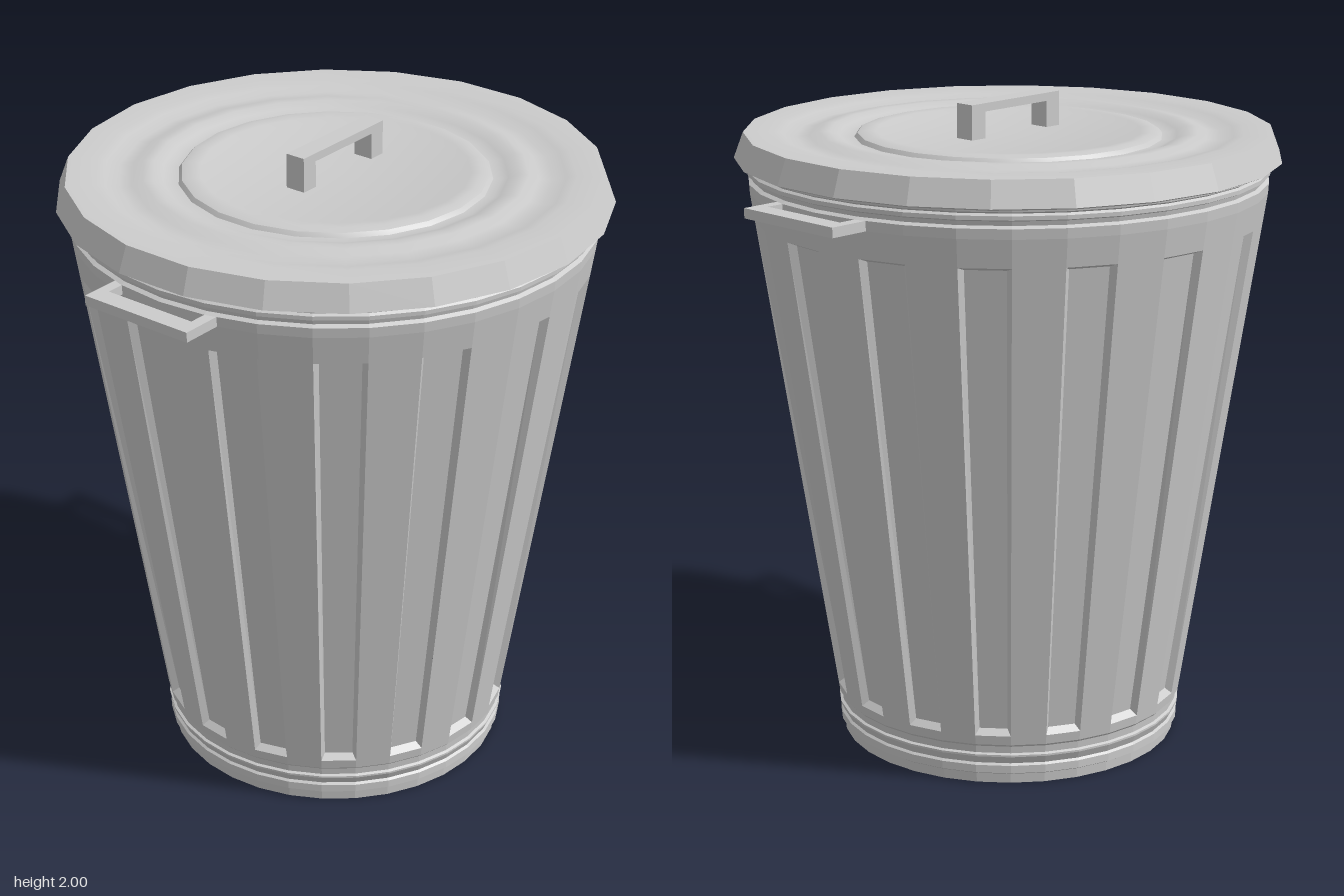
import * as THREE from 'three';
import { toCreasedNormals } from 'three/addons/utils/BufferGeometryUtils.js';

const flat = new THREE.MeshStandardMaterial({ color: 0xcccccc, flatShading: true });
const smooth = new THREE.MeshStandardMaterial({ color: 0xcccccc });

function add(parent, name, geometry, material = flat) {
  const mesh = new THREE.Mesh(geometry, material);
  mesh.name = name;
  parent.add(mesh);
  return mesh;
}

// Profile of [radius, y] pairs, running bottom centre -> outside -> top centre
function lathe(profile, sides) {
  return new THREE.LatheGeometry(profile.map(([r, y]) => new THREE.Vector2(r, y)), sides);
}

// Tapered 32-sided wall: 16 raised ribs alternating with 16 recessed panels
function wallGeometry() {
  const yMin = 0.13, yMax = 1.735, yLow = 0.16, yHigh = 1.65;
  const depth = 0.022, step = Math.PI / 16;
  const pos = [];
  const point = (a, y, inset = 0) => {
    const r = 0.543 + (0.785 - 0.543) * (y - yMin) / (yMax - yMin) - inset;
    return [r * Math.sin(a), y, r * Math.cos(a)];
  };
  // Corners anticlockwise from outside
  const quad = (a, b, c, d) => pos.push(...a, ...b, ...c, ...a, ...c, ...d);
  const panel = (a0, a1, y0, y1) =>
    quad(point(a0, y0), point(a1, y0), point(a1, y1), point(a0, y1));

  for (let i = 0; i < 16; i++) {
    const a1 = i * 2 * step, a0 = a1 - step;
    panel(a1, a1 + step, yMin, yMax);
    panel(a0, a1, yMin, yLow);
    panel(a0, a1, yHigh, yMax);
    // Recess: sloping walls around a sunken floor
    const outer = [point(a0, yLow), point(a1, yLow), point(a1, yHigh), point(a0, yHigh)];
    const e = 0.018;
    const inner = [
      point(a0 + e, yLow + 0.018, depth), point(a1 - e, yLow + 0.018, depth),
      point(a1 - e, yHigh - 0.01, depth), point(a0 + e, yHigh - 0.01, depth),
    ];
    quad(...inner);
    for (let k = 0; k < 4; k++) {
      const n = (k + 1) % 4;
      quad(outer[k], outer[n], inner[n], inner[k]);
    }
  }
  const g = new THREE.BufferGeometry();
  g.setAttribute('position', new THREE.Float32BufferAttribute(pos, 3));
  g.computeVertexNormals();
  return g;
}

// U-shaped bracket: a bar held by two arms, in the xy plane
function bracketGeometry(halfWidth, reach, arm, bar, thickness) {
  const s = new THREE.Shape();
  const w = halfWidth, v = halfWidth - arm, h = reach - bar;
  s.setFromPoints([[-w, 0], [-v, 0], [-v, h], [v, h], [v, 0], [w, 0], [w, reach], [-w, reach]]
    .map(([x, y]) => new THREE.Vector2(x, y)));
  const g = new THREE.ExtrudeGeometry(s, { depth: thickness, bevelEnabled: false });
  return g.translate(0, 0, -thickness / 2);
}

export function createModel() {
  const model = new THREE.Group();
  model.name = 'trashCan';

  // Body: ribbed wall with ringed base and collar
  const body = new THREE.Group();
  body.name = 'body';
  model.add(body);
  add(body, 'ribbedWall', wallGeometry());
  add(body, 'base', lathe([
    [0, 0], [0.525, 0], [0.527, 0.03], [0.537, 0.036], [0.537, 0.06], [0.53, 0.066],
    [0.541, 0.09], [0.541, 0.096], [0.533, 0.1], [0.535, 0.122], [0.543, 0.13],
  ], 32));
  add(body, 'collar', lathe([
    [0.785, 1.735], [0.787, 1.765], [0.775, 1.772], [0.778, 1.785], [0.79, 1.79],
    [0.79, 1.802], [0.782, 1.808], [0.794, 1.814], [0.796, 1.83], [0.74, 1.83],
  ], 32));

  // Side handles
  for (const side of [1, -1]) {
    const handle = add(body, side > 0 ? 'leftHandle' : 'rightHandle',
      bracketGeometry(0.187, 0.125, 0.035, 0.06, 0.03));
    handle.geometry.rotateX(Math.PI / 2).rotateY(side * Math.PI / 2);
    handle.position.set(side * 0.76, 1.75, 0);
  }

  // Lid: faceted rim and smoothly rippled top
  const lid = new THREE.Group();
  lid.name = 'lid';
  model.add(lid);
  add(lid, 'lidRim', lathe([
    [0, 1.84], [0.79, 1.84], [0.812, 1.822], [0.826, 1.828], [0.797, 1.905],
  ], 22));
  const top = lathe([
    [0.797, 1.905], [0.71, 1.905], [0.68, 1.9], [0.64, 1.889], [0.6, 1.892], [0.57, 1.903],
    [0.54, 1.903], [0.51, 1.893], [0.49, 1.886], [0.465, 1.886],
    [0.455, 1.898], [0.43, 1.904], [0.4, 1.902], [0.375, 1.895], [0, 1.895],
  ], 22);
  add(lid, 'lidTop', toCreasedNormals(top, 0.6), smooth);
  const grip = add(lid, 'lidHandle', bracketGeometry(0.187, 0.115, 0.055, 0.025, 0.064));
  grip.position.y = 1.885;

  return model;
}
